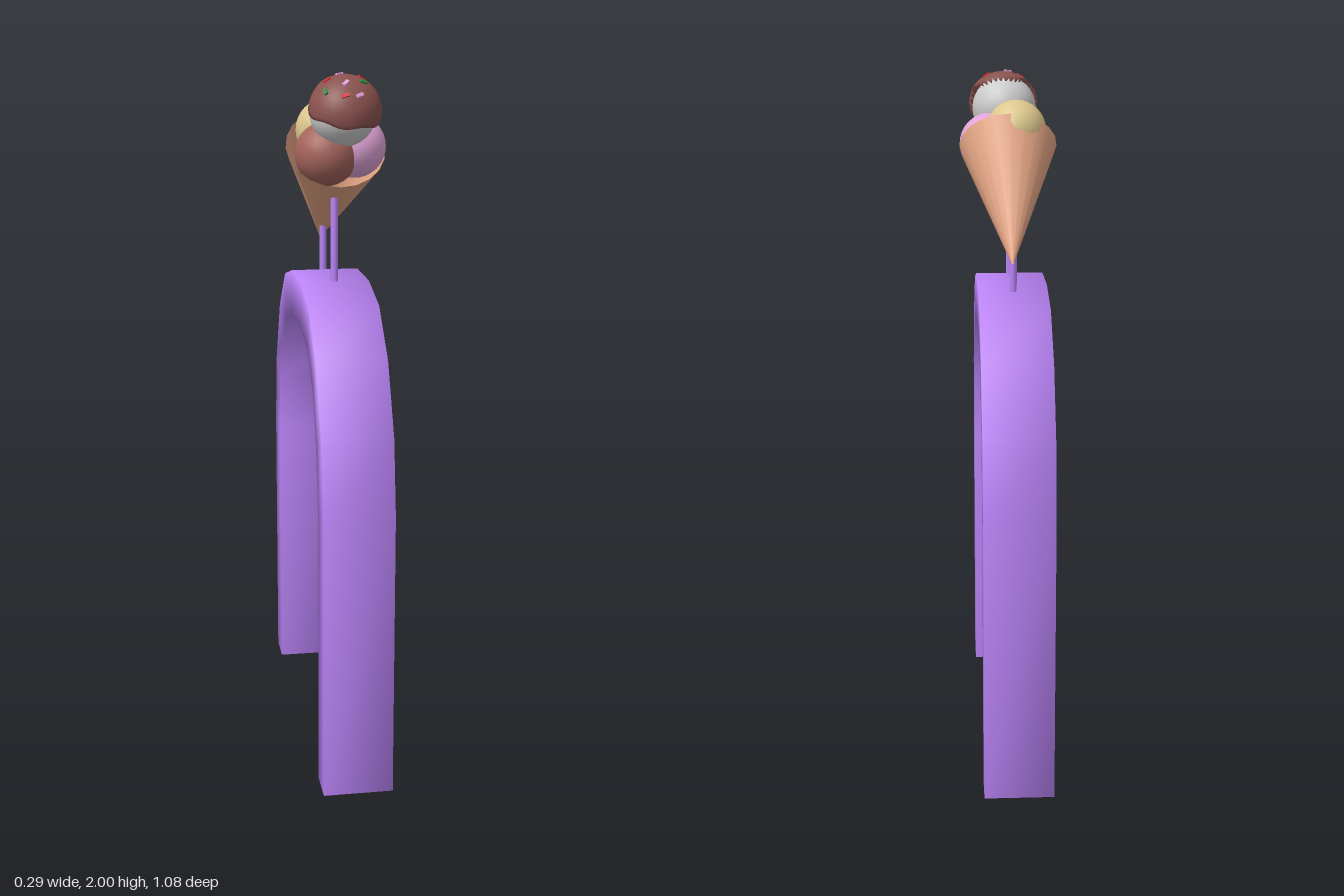
import * as THREE from 'three';

const mat = (color, side = THREE.FrontSide) => new THREE.MeshStandardMaterial({ color, side });

// Softly shaded rectangular section swept along the arch
function archGeometry() {
  const half = [ // outer z, outer y, inner z, inner y
    [0.54, 0, 0.435, 0], [0.54, 0.83, 0.435, 0.81], [0.505, 1.045, 0.4, 1.0],
    [0.405, 1.24, 0.335, 1.145], [0.265, 1.365, 0.225, 1.24], [0.1, 1.405, 0.085, 1.27],
  ];
  const stations = [...half, ...half.slice().reverse().map(([oz, oy, iz, iy]) => [-oz, oy, -iz, iy])];
  const x0 = -0.105, x1 = 0.095, pos = [], idx = [];
  stations.forEach(([oz, oy, iz, iy], i) => {
    pos.push(x1, oy, oz, x0, oy, oz, x0, iy, iz, x1, iy, iz);
    if (i === stations.length - 1) return;
    for (let k = 0; k < 4; k++) {
      const p = i * 4 + k, q = i * 4 + (k + 1) % 4;
      idx.push(q, p, p + 4, q, p + 4, q + 4);
    }
  });
  const e = (stations.length - 1) * 4;
  idx.push(0, 1, 2, 0, 2, 3, e, e + 2, e + 1, e, e + 3, e + 2); // feet
  const g = new THREE.BufferGeometry();
  g.setAttribute('position', new THREE.Float32BufferAttribute(pos, 3));
  g.setIndex(idx);
  g.computeVertexNormals();
  return g;
}

// Sphere cap with a wavy, slightly flared and tucked-in edge
function sauceGeometry() {
  const g = new THREE.SphereGeometry(1, 40, 14), p = g.attributes.position, uv = g.attributes.uv;
  for (let i = 0; i < p.count; i++) {
    const phi = uv.getX(i) * Math.PI * 2, v = 1 - uv.getY(i);
    const limit = 1.28 + 0.13 * Math.sin(3 * phi + 0.6) + 0.08 * Math.sin(5 * phi + 1);
    const t = Math.min(v / 0.93, 1) * limit;
    const r = v > 0.95 ? 0.09 : 0.1 + 0.006 * v;
    p.setXYZ(i, -r * Math.cos(phi) * Math.sin(t), r * Math.cos(t), r * Math.sin(phi) * Math.sin(t));
  }
  g.computeVertexNormals();
  return g;
}

export function createModel() {
  const model = new THREE.Group();
  const add = (name, geometry, material, x = 0, y = 0, z = 0) => {
    const m = new THREE.Mesh(geometry, material);
    m.name = name;
    m.position.set(x, y, z);
    model.add(m);
    return m;
  };

  // Arch and the two rods holding the cone
  const purple = mat(0xbb84f8);
  add('arch', archGeometry(), purple);
  for (const [name, z, top] of [['frontRod', 0.09, 1.66], ['backRod', -0.135, 1.545]]) {
    const h = top - 1.37;
    add(name, new THREE.CylinderGeometry(0.011, 0.011, h, 10), purple, -0.005, 1.37 + h / 2, z);
  }

  // Leaning wafer cone
  const cone = add('cone', new THREE.CylinderGeometry(0.143, 0.004, 0.419, 20, 1, true),
    mat(0xe5a685, THREE.DoubleSide), 0, 1.639, -0.07);
  cone.rotation.x = 0.78;

  // Scoops
  const scoops = [
    ['yellowScoop', 0xdcc78c, 0.088, -0.022, 1.835, 0.045],
    ['pinkScoop', 0xe0a4d8, 0.09, 0.052, 1.793, 0.09],
    ['brownScoop', 0xa5645c, 0.09, -0.033, 1.775, 0.12],
    ['whiteScoop', 0xcccccc, 0.094, 0.008, 1.892, 0.16],
  ];
  for (const [name, color, r, x, y, z] of scoops) {
    add(name, new THREE.SphereGeometry(r, 24, 16), mat(color), x, y, z);
  }

  // Chocolate sauce over the top scoop
  const c = new THREE.Vector3(0.012, 1.895, 0.163);
  const sauce = add('sauce', sauceGeometry(), mat(0x8a524e, THREE.DoubleSide), c.x, c.y, c.z);
  sauce.rotation.x = 0.75;

  // Sprinkles lying on the sauce: x, z, spin, colour
  const red = mat(0xd83038), pink = mat(0xe0a4d8), green = mat(0x2f8a3c);
  const sprinkles = [
    [-0.04, 0.182, 0.1, red], [0.06, 0.157, 0.4, red], [-0.003, 0.16, 0.5, pink],
    [-0.05, 0.22, 1.5, green], [0.057, 0.205, 0.3, green], [0.005, 0.225, 0.8, pink],
    [0, 0.252, 0.2, red], [0.04, 0.248, 0.6, pink],
  ];
  const grain = new THREE.BoxGeometry(0.022, 0.008, 0.01);
  const up = new THREE.Vector3(0, 1, 0);
  for (const [x, z, spin, material] of sprinkles) {
    const dx = x - c.x, dz = z - c.z;
    const n = new THREE.Vector3(dx, Math.sqrt(0.103 ** 2 - dx * dx - dz * dz), dz);
    const s = add('sprinkle', grain, material, c.x + n.x, c.y + n.y, c.z + n.z);
    s.quaternion.setFromUnitVectors(up, n.clone().normalize());
    s.rotateY(spin);
  }
  return model;
}
